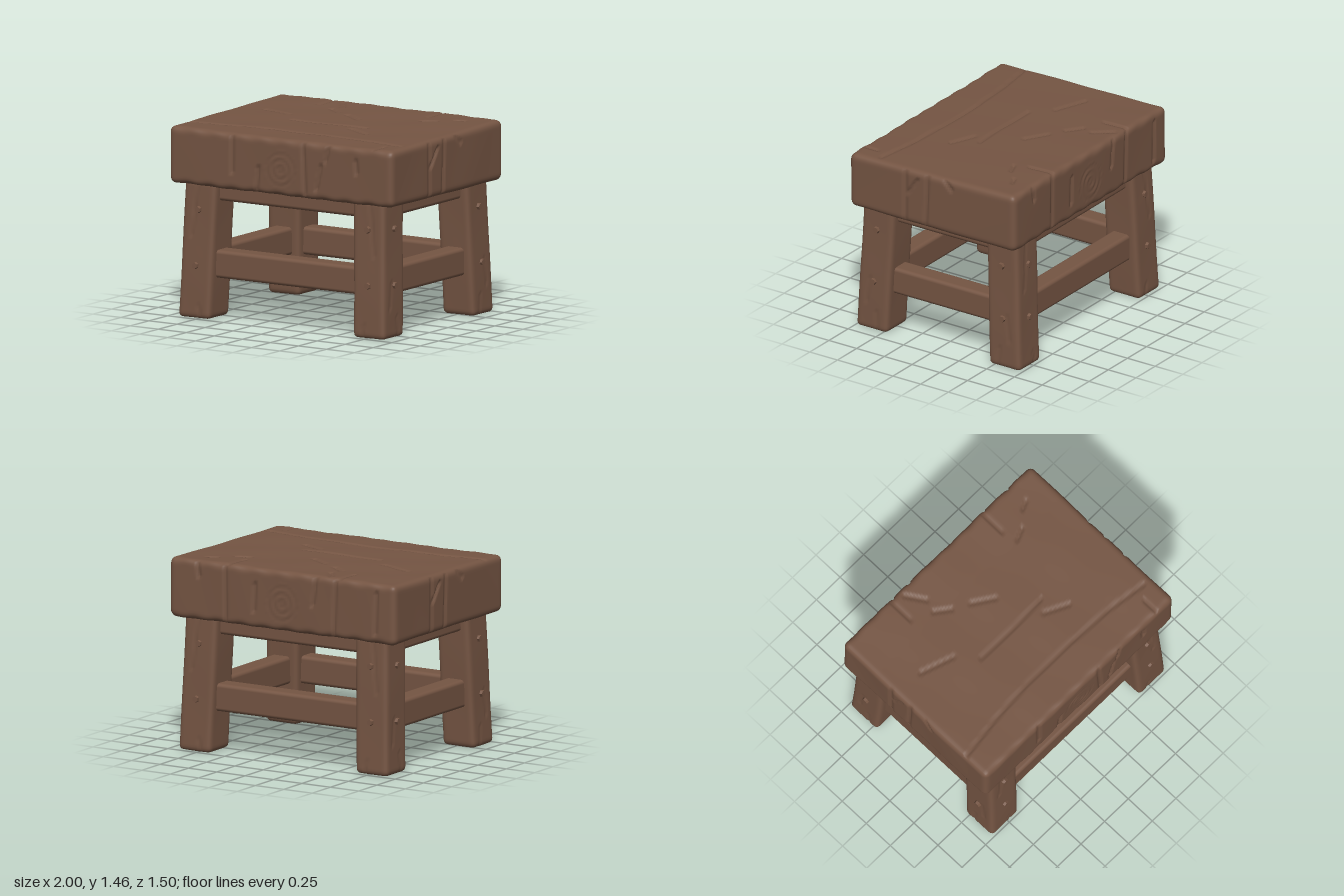
import * as THREE from 'three';
import { mergeVertices } from 'three/addons/utils/BufferGeometryUtils.js';
import { RoundedBoxGeometry } from 'three/addons/geometries/RoundedBoxGeometry.js';

const wood = new THREE.MeshStandardMaterial({ color: 0x755543 });
wood.name = 'brown wood';

// Rounded timber block centred on the origin, with carved cracks.
// Each crack is [x1, y1, z1, x2, y2, z2]; relief(p, n) gives extra height along the normal.
function timber(w, h, d, r, cell, cracks, relief, crackWidth, crackDepth) {
  const seg = (s) => Math.round(s / cell);
  let geo = new THREE.BoxGeometry(w, h, d, seg(w), seg(h), seg(d));
  geo.deleteAttribute('normal');
  geo.deleteAttribute('uv');
  geo = mergeVertices(geo);
  const core = new THREE.Vector3(w / 2 - r, h / 2 - r, d / 2 - r);
  const low = core.clone().negate();
  const lines = cracks.map((c) => new THREE.Line3(
    new THREE.Vector3(c[0], c[1], c[2]), new THREE.Vector3(c[3], c[4], c[5])));
  const pos = geo.attributes.position;
  const p = new THREE.Vector3(), q = new THREE.Vector3(), n = new THREE.Vector3(), near = new THREE.Vector3();
  for (let i = 0; i < pos.count; i++) {
    p.fromBufferAttribute(pos, i);
    q.copy(p).clamp(low, core);
    n.copy(p).sub(q).normalize();
    p.copy(q).addScaledVector(n, r);
    let cut = 0;
    for (const line of lines) {
      line.closestPointToPoint(p, true, near);
      cut = Math.max(cut, 1 - near.distanceTo(p) / crackWidth);
    }
    p.addScaledVector(n, relief(p, n) - cut * crackDepth);
    pos.setXYZ(i, p.x, p.y, p.z);
  }
  return geo;
}

function add(parent, name, geo, x = 0, y = 0, z = 0) {
  const mesh = new THREE.Mesh(geo, wood);
  mesh.name = name;
  mesh.position.set(x, y, z);
  parent.add(mesh);
  return mesh;
}

// Leg centre line: splayed outwards towards the floor
const legX = (y) => 0.78 - 0.03 * y;
const legZ = (y) => 0.6 - 0.045 * y;

function seatGeometry() {
  const W = 1.99, H = 0.435, D = 1.49, X = W / 2, Y = H / 2, Z = D / 2;
  const cracks = [];
  // Cracks across the top, as x, z pairs
  for (const [x1, z1, x2, z2] of [
    [-0.35, 0.06, 0, 0.065], [0, 0.065, 0.3, 0.05], [-0.75, -0.18, -0.48, -0.09],
    [-0.5, -0.75, -0.5, -0.52], [0.47, -0.75, 0.47, -0.52], [-0.4, -0.69, -0.3, -0.54],
    [-0.1, -0.3, 0.07, -0.19], [-0.34, -0.45, -0.22, -0.36], [0.23, 0.14, 0.42, 0.23],
    [0.5, -0.4, 0.6, -0.44], [-0.97, 0.52, -0.6, 0.47], [-0.6, 0.47, -0.25, 0.445],
    [-0.25, 0.445, 0.2, 0.445], [0.2, 0.445, 0.6, 0.465], [0.6, 0.465, 0.92, 0.51],
    [0.83, 0.6, 0.83, 0.72], [0.7, -0.54, 0.77, -0.57],
  ]) cracks.push([x1, Y, z1, x2, Y, z2]);
  // Cracks down the front and back, as x, y pairs
  for (const [x1, y1, x2, y2] of [
    [-0.43, Y, -0.43, -0.08], [-0.2, -0.02, -0.22, -Y], [0.2, Y, 0.22, -0.18],
    [0.36, 0.05, 0.32, -0.14], [0.43, Y, 0.4, 0.08], [0.67, 0.12, 0.68, 0.02],
  ]) cracks.push([x1, y1, Z, x2, y2, Z]);
  for (const [x1, y1, x2, y2] of [
    [0.5, Y, 0.5, -Y], [-0.47, Y, -0.45, -Y], [-0.3, Y, -0.27, 0], [0.24, 0.1, 0.25, -0.1],
    [-0.83, 0.15, -0.82, -0.15], [0.75, Y, 0.73, 0.1],
  ]) cracks.push([x1, y1, -Z, x2, y2, -Z]);
  // Cracks down both ends, as z, y pairs
  for (const [z1, y1, z2, y2] of [
    [0.24, Y, 0.24, -Y], [0.04, Y, 0.06, -Y], [0.22, 0.02, 0.13, 0.15], [-0.1, Y, -0.18, 0.14],
  ]) {
    cracks.push([X, y1, z1, X, y2, z2]);
    cracks.push([-X, y1, -z1, -X, y2, -z2]);
  }
  // Hewn unevenness, plus growth rings of the knots on the long sides
  const relief = (p, n) => {
    let a = 0.003 * Math.sin(9 * p.x + 4 * p.z) * Math.sin(7 * p.z + 5 * p.y - 2 * p.x);
    a += 0.006 * Math.sin(31 * p.x + 3 * p.y) * Math.abs(n.y * n.z);
    const ring = Math.hypot(p.x, p.y + 0.02);
    if (Math.abs(n.z) > 0.9 && ring < 0.14) a += 0.003 * Math.cos(ring * 130);
    return a;
  };
  const geo = timber(W, H, D, 0.045, 0.0165, cracks, relief, 0.018, 0.02);
  // The top rises slightly towards the back
  const pos = geo.attributes.position;
  for (let i = 0; i < pos.count; i++) {
    const t = pos.getY(i) / H + 0.5, z = pos.getZ(i);
    pos.setY(i, pos.getY(i) + t * (0.004 - 0.015 * z + 0.012 * Math.max(0, -z - 0.4)));
  }
  geo.computeVertexNormals();
  return geo;
}

function legGeometry(sx, sz) {
  const H = 1.04, half = 0.14;
  const cracks = [
    [0.02, 0.5, half, 0.05, 0.1, half], [-0.06, -0.52, half, -0.04, -0.42, half],
    [half, -0.1, 0.04, half, -0.3, 0.05], [half, -0.52, -0.05, half, -0.36, -0.04],
  ].map(([a, b, c, d, e, f]) => [a * sx, b, c * sz, d * sx, e, f * sz]);
  const relief = (p) => 0.002 * Math.sin(8 * p.y + 3 * sx) * Math.sin(11 * p.x + 9 * p.z);
  const geo = timber(2 * half, H, 2 * half, 0.035, 0.0175, cracks, relief, 0.013, 0.01);
  // Lean the post along its centre line
  const pos = geo.attributes.position;
  for (let i = 0; i < pos.count; i++) {
    const y = pos.getY(i) + H / 2 + 0.003;
    pos.setXYZ(i, pos.getX(i) + sx * legX(y), y, pos.getZ(i) + sz * legZ(y));
  }
  geo.computeVertexNormals();
  return geo;
}

export function createModel() {
  const model = new THREE.Group();
  model.name = 'stool';

  add(model, 'seat', seatGeometry(), 0, 1.2225, 0);

  const pegGeo = new THREE.CylinderGeometry(0.024, 0.031, 0.045, 6).toNonIndexed();
  pegGeo.computeVertexNormals();

  for (const sx of [-1, 1]) {
    for (const sz of [-1, 1]) {
      const leg = new THREE.Group();
      leg.name = (sz > 0 ? 'front' : 'back') + (sx > 0 ? 'Left' : 'Right') + 'Leg';
      model.add(leg);
      add(leg, 'legPost', legGeometry(sx, sz));
      // Pegs on the two outer faces, where the rails join
      for (const y of [0.4, 0.82]) {
        const x = sx * legX(y), z = sz * legZ(y);
        add(leg, 'peg', pegGeo, x, y, z + sz * 0.137).rotation.x = sz * Math.PI / 2;
        add(leg, 'peg', pegGeo, x + sx * 0.137, y, z).rotation.z = -sx * Math.PI / 2;
      }
    }
  }

  // Upper and lower rails between the legs
  for (const [level, y, h] of [['lower', 0.415, 0.21], ['upper', 0.985, 0.19]]) {
    const x = legX(y), z = legZ(y);
    const longRail = new RoundedBoxGeometry(2 * x, h, 0.16, 3, 0.028);
    const shortRail = new RoundedBoxGeometry(0.16, h, 2 * z, 3, 0.028);
    for (const s of [-1, 1]) {
      add(model, level + (s > 0 ? 'FrontRail' : 'BackRail'), longRail, 0, y, s * z);
      add(model, level + (s > 0 ? 'LeftRail' : 'RightRail'), shortRail, s * x, y, 0);
    }
  }
  return model;
}
